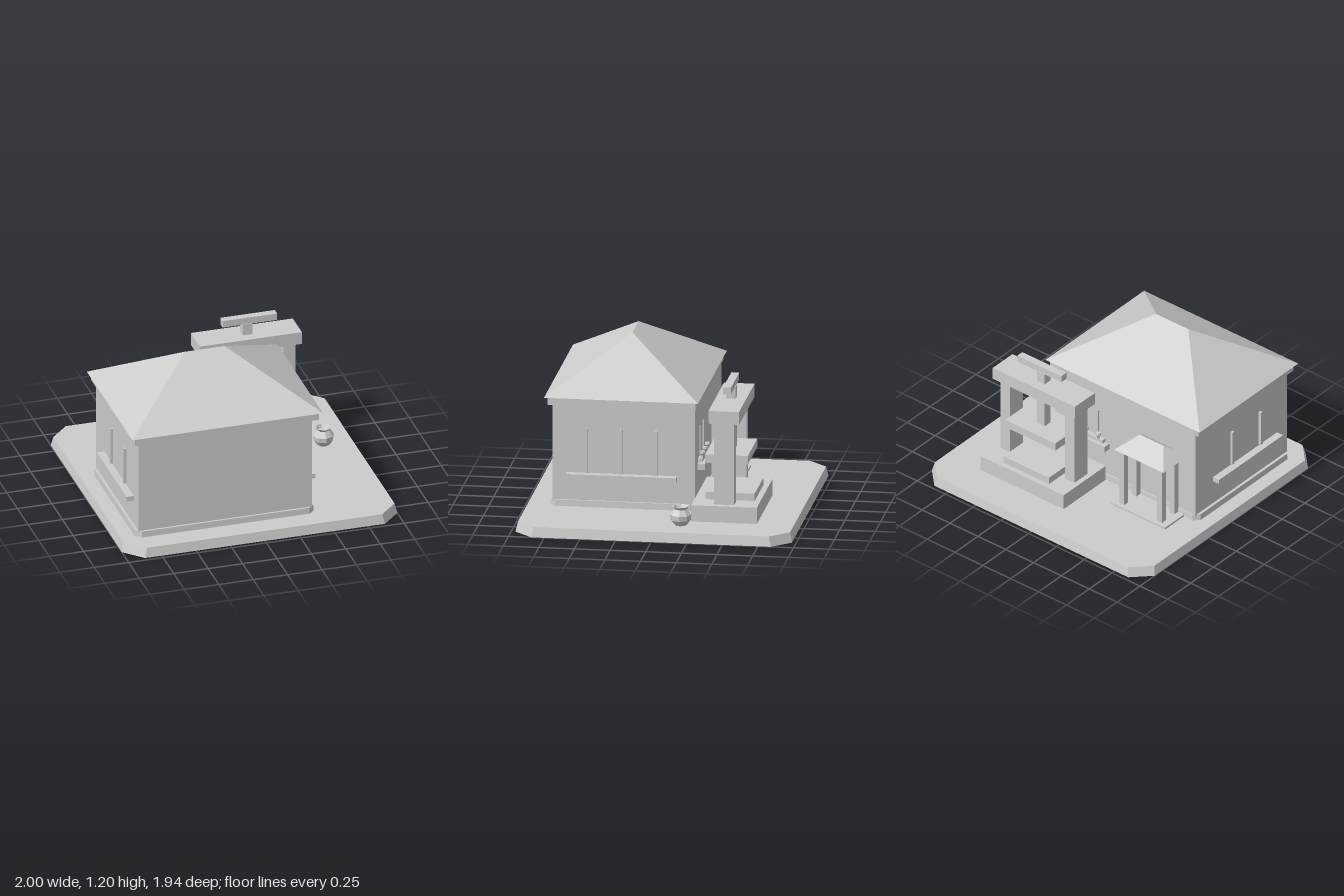
import * as THREE from 'three';

const stone = new THREE.MeshStandardMaterial({ color: 0xcccccc, flatShading: true, side: THREE.DoubleSide });
stone.name = 'pale grey';

export function createModel() {
  const model = new THREE.Group();

  const add = (name, geometry, parent = model) => {
    const mesh = new THREE.Mesh(geometry, stone);
    mesh.name = name;
    parent.add(mesh);
    return mesh;
  };
  const group = (name) => {
    const g = new THREE.Group();
    g.name = name;
    model.add(g);
    return g;
  };
  // box given by its limits on each axis
  const box = (name, x0, x1, y0, y1, z0, z1, parent) =>
    add(name, new THREE.BoxGeometry(x1 - x0, y1 - y0, z1 - z0), parent)
      .position.set((x0 + x1) / 2, (y0 + y1) / 2, (z0 + z1) / 2);

  // walls between two matching [x, z] loops, closed on top and optionally below
  const loft = (low, high, y0, y1, closed) => {
    const p = [];
    const n = low.length;
    const put = (q, y) => p.push(q[0], y, q[1]);
    for (let i = 0; i < n; i++) {
      const j = (i + 1) % n;
      put(low[i], y0); put(low[j], y0); put(high[j], y1);
      put(low[i], y0); put(high[j], y1); put(high[i], y1);
    }
    for (let i = 1; i < n - 1; i++) {
      put(high[0], y1); put(high[i], y1); put(high[i + 1], y1);
      if (closed) { put(low[0], y0); put(low[i + 1], y0); put(low[i], y0); }
    }
    const g = new THREE.BufferGeometry();
    g.setAttribute('position', new THREE.Float32BufferAttribute(p, 3));
    g.computeVertexNormals();
    return g;
  };
  // rectangle with cut corners
  const cutRect = (x0, x1, z0, z1, c) => [
    [x0 + c, z1], [x1 - c, z1], [x1, z1 - c], [x1, z0 + c],
    [x1 - c, z0], [x0 + c, z0], [x0, z0 + c], [x0, z1 - c],
  ];
  const hipRoof = (x0, x1, z0, z1, r0, r1, y0, y1) => {
    const rz = (z0 + z1) / 2;
    return loft([[x0, z1], [x1, z1], [x1, z0], [x0, z0]],
      [[r0, rz], [r1, rz], [r1, rz], [r0, rz]], y0, y1, true);
  };

  // ground slab, hollow underneath
  add('groundSlab', loft(cutRect(-1, 1, -0.97, 0.97, 0.13),
    cutRect(-0.985, 0.985, -0.955, 0.955, 0.13), 0, 0.07, false));

  // house
  const house = group('house');
  add('housePlinth', loft(cutRect(-0.885, 0.42, -0.235, 0.8, 0.04),
    cutRect(-0.88, 0.415, -0.23, 0.795, 0.04), 0.04, 0.115, false), house);
  box('houseWalls', -0.86, 0.4, 0.1, 0.81, -0.22, 0.78, house);
  box('eaveBeam', -0.895, 0.44, 0.8, 0.86, -0.23, 0.81, house);
  add('houseRoof', hipRoof(-0.92, 0.465, -0.25, 0.83, -0.375, -0.085, 0.858, 1.2), house);

  // side windows: upright bars above a sill
  const rightWindow = group('rightSideWindow');
  box('windowSill', 0.4, 0.455, 0.278, 0.312, -0.095, 0.68, rightWindow);
  for (const z of [0.05, 0.295, 0.54])
    box('windowBar', 0.4, 0.42, 0.315, 0.635, z - 0.01, z + 0.01, rightWindow);

  const leftWindow = group('leftSideWindow');
  box('windowSill', -0.915, -0.86, 0.3, 0.335, -0.03, 0.67, leftWindow);
  for (const z of [0.17, 0.48])
    box('windowBar', -0.88, -0.86, 0.345, 0.615, z - 0.01, z + 0.01, leftWindow);

  // back window with a shelf and small jars
  const backWindow = group('backWindow');
  box('windowSill', -0.085, 0.28, 0.33, 0.375, -0.273, -0.22, backWindow);
  box('windowShelf', -0.05, 0.25, 0.378, 0.405, -0.25, -0.22, backWindow);
  for (const x of [0.02, 0.18])
    box('windowBar', x - 0.01, x + 0.01, 0.405, 0.62, -0.228, -0.22, backWindow);
  const jar = [[0.001, 0], [0.007, 0], [0.012, 0.02], [0.02, 0.03], [0.018, 0.045], [0.001, 0.045]]
    .map(([x, y]) => new THREE.Vector2(x, y));
  for (const x of [-0.01, 0.1, 0.22])
    add('smallJar', new THREE.LatheGeometry(jar, 7), backWindow).position.set(x, 0.405, -0.248);

  // porch at the back of the house
  const porch = group('porch');
  add('porchFloor', loft(cutRect(-0.765, -0.28, -0.44, -0.14, 0.002),
    cutRect(-0.765, -0.28, -0.44, -0.14, 0.002), 0.045, 0.085, false), porch);
  box('porchStep', -0.62, -0.42, 0.02, 0.084, -0.34, -0.26, porch);
  for (const x of [-0.69, -0.35])
    for (const z of [-0.385, -0.25])
      box('porchPost', x - 0.022, x + 0.022, 0.08, 0.54, z - 0.022, z + 0.022, porch);
  add('porchRoof', hipRoof(-0.745, -0.3, -0.43, -0.14, -0.625, -0.415, 0.535, 0.635), porch);

  // standing frame with a central post
  const frame = group('standingFrame');
  box('framePlinth', -0.065, 0.68, 0.07, 0.187, -0.695, -0.235, frame);
  box('frameStep', 0.1, 0.51, 0.18, 0.24, -0.655, -0.31, frame);
  for (const x of [0.015, 0.595])
    box('framePillar', x - 0.043, x + 0.043, 0.18, 0.78, -0.53, -0.39, frame);
  box('frameBeam', -0.065, 0.675, 0.778, 0.87, -0.57, -0.355, frame);
  box('hangingBoard', 0.08, 0.53, 0.455, 0.515, -0.61, -0.31, frame);
  box('centrePost', 0.27, 0.34, 0.51, 0.955, -0.495, -0.43, frame);
  box('topBar', 0.125, 0.52, 0.95, 1, -0.49, -0.435, frame);

  // water pot beside the frame
  const pot = [[0.001, 0], [0.042, 0], [0.072, 0.04], [0.075, 0.075], [0.045, 0.115],
    [0.06, 0.135], [0.05, 0.135], [0.035, 0.11], [0.001, 0.1]]
    .map(([x, y]) => new THREE.Vector2(x, y));
  add('waterPot', new THREE.LatheGeometry(pot, 8)).position.set(0.775, 0.07, -0.175);

  return model;
}
